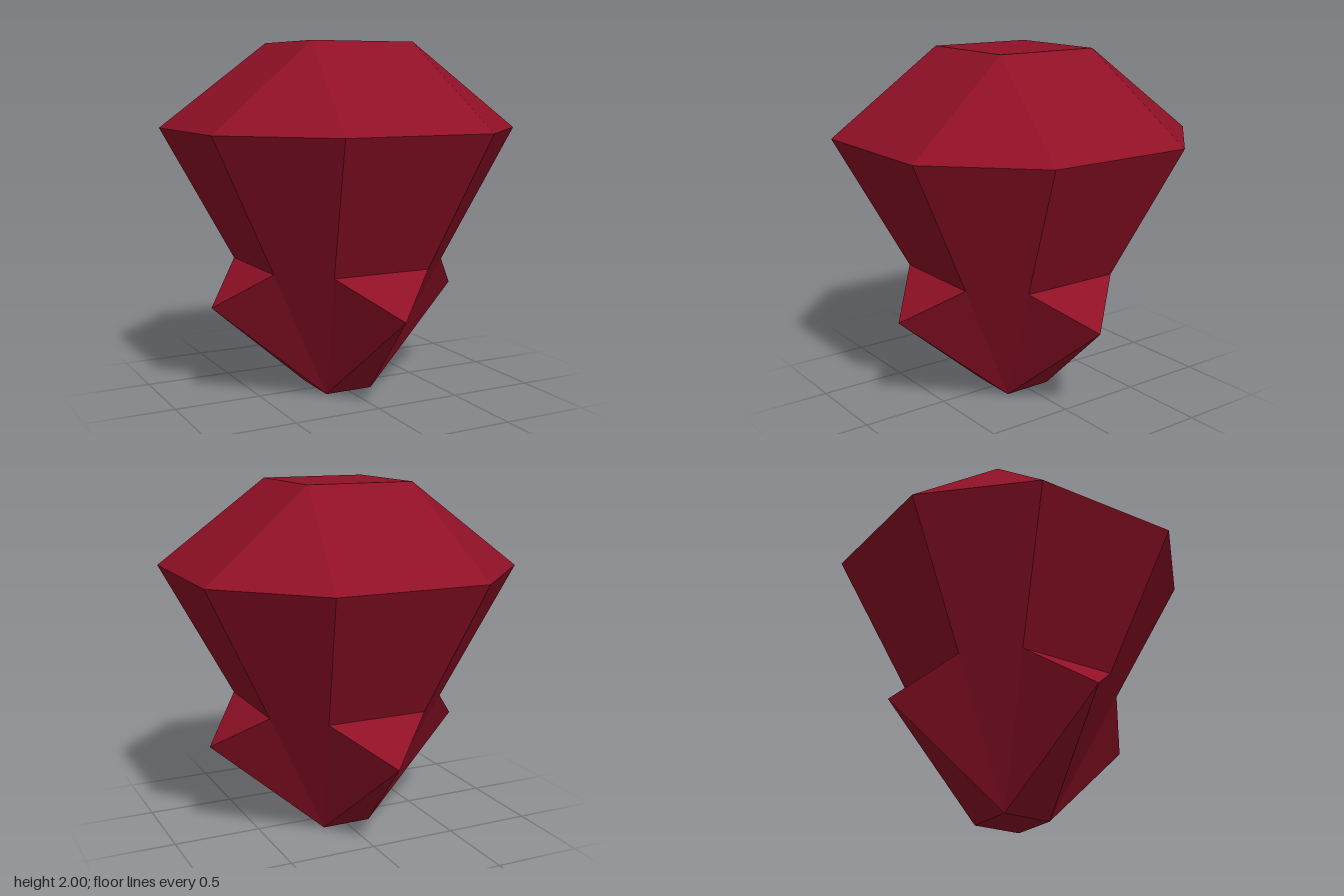
import * as THREE from 'three';

// Flat-faced mesh from polygons, each listed counter-clockwise from outside
function facets(name, polygons, material) {
  const positions = [];
  for (const poly of polygons) {
    for (let i = 1; i < poly.length - 1; i++) {
      positions.push(...poly[0], ...poly[i], ...poly[i + 1]);
    }
  }
  const geometry = new THREE.BufferGeometry();
  geometry.setAttribute('position', new THREE.Float32BufferAttribute(positions, 3));
  geometry.computeVertexNormals();
  const mesh = new THREE.Mesh(geometry, material);
  mesh.name = name;
  return mesh;
}

// Four copies of a corner point, each a quarter turn about y
function quarterTurns([x, y, z]) {
  return [[x, y, z], [z, y, -x], [-x, y, -z], [-z, y, x]];
}

export function createModel() {
  const group = new THREE.Group();
  group.name = 'cutGem';
  const ruby = new THREE.MeshStandardMaterial({ color: 0x8f1026, flatShading: true });
  ruby.name = 'deep ruby red';

  // Corner points of one quarter, from top to bottom
  const table = quarterTurns([0.31, 2, 0.31]);
  const girdleA = quarterTurns([0.43, 1.52, 0.92]);
  const girdleB = quarterTurns([0.92, 1.52, 0.43]);
  const waistA = quarterTurns([0.29, 0.76, 0.53]);
  const waistB = quarterTurns([0.53, 0.76, 0.29]);
  const tip = quarterTurns([0, 0.545, 0.78]);
  const foot = quarterTurns([0.145, 0, 0.145]);

  const crown = [table];
  const body = [];
  const points = [[...foot].reverse()];

  for (let i = 0; i < 4; i++) {
    const n = (i + 1) % 4;
    // Sloping crown: corner triangle and side trapezoid
    crown.push([girdleA[i], girdleB[i], table[i]]);
    crown.push([girdleB[i], girdleA[n], table[n], table[i]]);
    // Tapered body: corner and side panels
    body.push([waistA[i], waistB[i], girdleB[i], girdleA[i]]);
    body.push([waistB[i], waistA[n], girdleA[n], girdleB[i]]);
    // Pointed base: ledge, corner facets and underside
    points.push([tip[n], waistA[n], waistB[i]]);
    points.push([foot[i], tip[n], waistB[i]]);
    points.push([foot[i], waistB[i], waistA[i]]);
    points.push([foot[i], waistA[i], tip[i]]);
    points.push([foot[i], foot[n], tip[n]]);
  }

  group.add(facets('crown', crown, ruby));
  group.add(facets('taperedBody', body, ruby));
  group.add(facets('pointedBase', points, ruby));
  return group;
}
